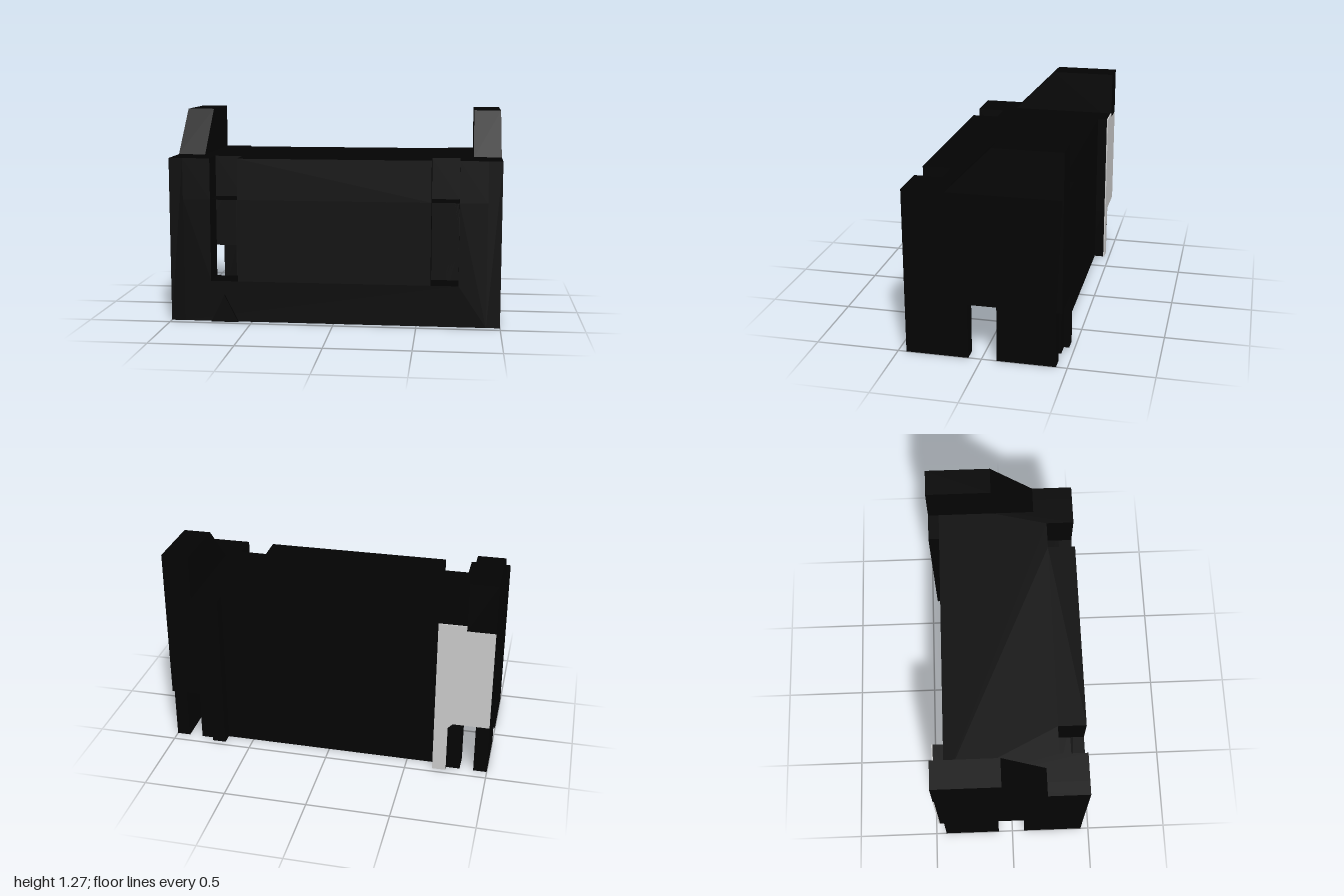
import * as THREE from 'three';

const black = new THREE.MeshStandardMaterial({ color: 0x030303 });
const grey = new THREE.MeshStandardMaterial({ color: 0xcccccc });

const outline = (pts) => new THREE.Shape(pts.map(([a, b]) => new THREE.Vector2(a, b)));
const rect = (x0, y0, x1, y1) => [[x0, y0], [x1, y0], [x1, y1], [x0, y1]];

export function createModel() {
  const group = new THREE.Group();

  function add(name, geometry, material = black) {
    const mesh = new THREE.Mesh(geometry, material);
    mesh.name = name;
    group.add(mesh);
    return mesh;
  }
  const extrude = (shape, depth) => new THREE.ExtrudeGeometry(shape, { depth, bevelEnabled: false });

  // Outline in x, y, extruded from z0 to z1
  const alongZ = (name, shape, z0, z1, material) =>
    add(name, extrude(shape, z1 - z0).translate(0, 0, z0), material);
  // Outline in z, y, extruded from x0 to x1
  const alongX = (name, shape, x0, x1) =>
    add(name, extrude(shape, x1 - x0).rotateY(-Math.PI / 2).translate(x1, 0, 0));
  // Box between two x values on one side of the model
  function sideBox(name, s, xa, xb, y0, y1, z0, z1) {
    add(name, new THREE.BoxGeometry(xb - xa, y1 - y0, z1 - z0)
      .translate(s * (xa + xb) / 2, (y0 + y1) / 2, (z0 + z1) / 2));
  }

  // Top slab with two notches in its front edge
  const slab = outline([
    [-0.917, -0.4], [0.917, -0.4], [0.917, 0.45], [0.75, 0.45], [0.75, 0.28], [0.583, 0.28], [0.583, 0.45],
    [-0.583, 0.45], [-0.583, 0.28], [-0.75, 0.28], [-0.75, 0.45], [-0.917, 0.45],
  ]);
  add('topSlab', extrude(slab, 0.25).rotateX(Math.PI / 2).translate(0, 1, 0));

  // Front wall with a window below each notch, and the plain back wall
  const front = outline(rect(-0.917, 0, 0.917, 0.75));
  for (const s of [-1, 1]) {
    front.holes.push(outline(rect(s * 0.667 - 0.0835, 0.25, s * 0.667 + 0.0835, 0.7499)));
  }
  alongZ('frontWall', front, 0.367, 0.45);
  alongZ('backWall', outline(rect(-0.75, 0, 0.75, 0.75)), -0.4, -0.317);

  // Side wall with its doorway and the cut under the back column
  const side = outline([
    [0.45, 0], [0.45, 1], [-0.46, 1], [-0.46, 0.335], [-0.435, 0.335], [-0.435, 0],
    [-0.09, 0], [-0.09, 0.335], [0.078, 0.335], [0.078, 0],
  ]);
  // Raised crest with a sloping front
  const crest = outline([[0.2, 1], [-0.067, 1.27], [-0.467, 1.27], [-0.467, 0.97], [-0.4, 0.97], [-0.4, 1]]);

  for (const s of [-1, 1]) {
    const span = (a, b) => (s > 0 ? [a, b] : [-b, -a]);
    alongX('sideWall', side, ...span(0.917, 1));
    alongX('crest', crest, ...span(0.833, 1));

    // Back column, its foot and the pier beside the gap
    const zBack = s > 0 ? -0.467 : -0.46;
    sideBox('backColumn', s, 0.667, 1, 0.335, 0.999, zBack, -0.317);
    sideBox('columnFoot', s, 0.667, 0.75, 0, 0.335, zBack, -0.317);
    sideBox('columnPier', s, 0.75, 0.833, 0, 0.335, -0.435, -0.317);

    // Frame deepening the window inside the wall
    const frame = outline(rect(s * 0.667 - 0.167, 0, s * 0.667 + 0.167, 0.75));
    frame.holes.push(outline(rect(s * 0.667 - 0.0835, 0.25, s * 0.667 + 0.0835, 0.7499)));
    alongZ('windowFrame', frame, 0.28, 0.367);
  }

  // Grey panel on the back of the right column
  const panel = outline([
    [-0.667, 0], [-0.667, 1], [-0.833, 1], [-0.833, 0.97], [-1, 0.97],
    [-1, 0.335], [-0.78, 0.335], [-0.75, 0.305], [-0.75, 0],
  ]);
  alongZ('backPanel', panel, -0.468, -0.46, grey);

  // Small triangular marker low on the front
  alongZ('frontMarker', outline([[-0.75, 0], [-0.583, 0], [-0.667, 0.167]]), 0.45, 0.467);

  return group;
}
